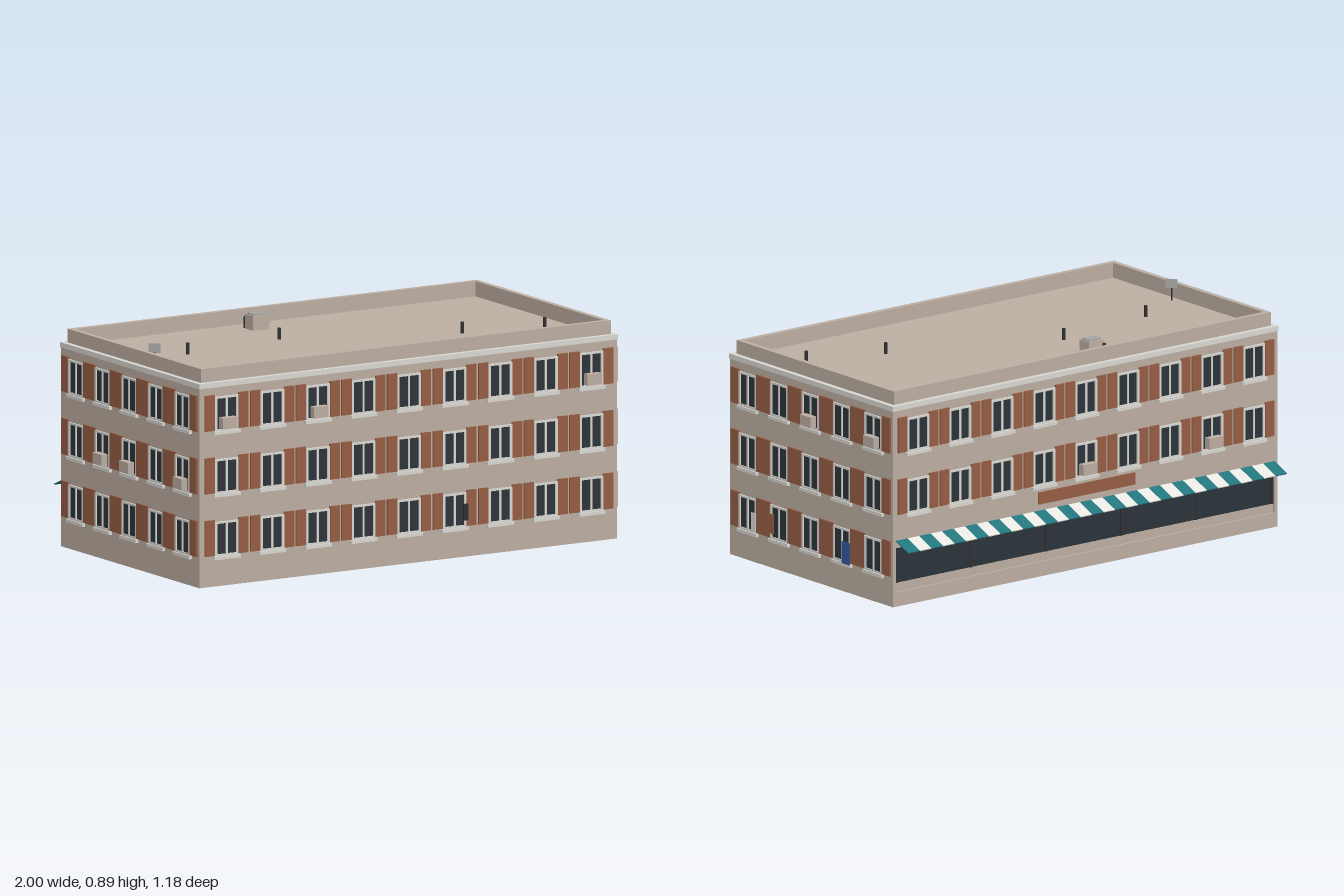
import * as THREE from 'three';

const paint = (name, color, side = THREE.FrontSide) => {
  const m = new THREE.MeshStandardMaterial({ color, side });
  m.name = name;
  return m;
};

export function createModel() {
  const wall = paint('tan plaster', 0xbcaea2);
  const trim = paint('pale trim', 0xd8d7d1);
  const rust = paint('rust brown', 0x965d44);
  const glass = paint('dark glass', 0x2c343a);
  const dark = paint('charcoal', 0x303032);
  const slab = paint('slab grey', 0x58585a);
  const teal = paint('teal canvas', 0x24757e);
  const white = paint('white canvas', 0xebe9e3);
  const blue = paint('blue', 0x3355a0);
  const grey = paint('grey metal', 0xa4a4a2, THREE.DoubleSide);

  const HX = 0.955, HZ = 0.505, FLOORS = [0.119, 0.366, 0.613];
  const model = new THREE.Group();
  model.name = 'building';
  const body = new THREE.Group();
  body.name = 'buildingBody';
  body.rotation.y = -0.032;
  body.position.z = 0.025;
  model.add(body);

  const add = (parent, name, geo, mat, x, y, z) => {
    const m = new THREE.Mesh(geo, mat);
    m.name = name;
    m.position.set(x, y, z);
    parent.add(m);
    return m;
  };
  const box = (parent, name, mat, w, h, d, x, y, z) =>
    add(parent, name, new THREE.BoxGeometry(w, h, d), mat, x, y, z);

  // Shapes with rectangular holes, each rectangle given as [x0, y0, x1, y1]
  const rect = (T, [a, b, c, d]) => {
    const p = new T();
    p.moveTo(a, b); p.lineTo(c, b); p.lineTo(c, d); p.lineTo(a, d); p.closePath();
    return p;
  };
  const pierced = (outer, holes, depth) => {
    const s = rect(THREE.Shape, outer);
    s.holes = holes.map(h => rect(THREE.Path, h));
    return new THREE.ExtrudeGeometry(s, { depth, bevelEnabled: false });
  };
  // Flat rectangular ring around the building
  const ring = (name, mat, hx, hz, t, y, h) => {
    const g = pierced([-hx, -hz, hx, hz], [[-hx + t, -hz + t, hx - t, hz - t]], h);
    g.rotateX(-Math.PI / 2);
    return add(body, name, g, mat, 0, y, 0);
  };

  // Main mass, hollow base, cornice and parapet
  box(body, 'mainWalls', wall, HX * 2, 0.75, HZ * 2 - 0.015, 0, 0.425, 0.0075);
  ring('baseRim', wall, HX, HZ, 0.03, 0, 0.05);
  box(body, 'underside', slab, HX * 2 - 0.06, 0.006, HZ * 2 - 0.06, 0, 0.046, 0);
  ring('cornice', trim, HX + 0.003, HZ + 0.003, 0.04, 0.786, 0.02);
  ring('parapet', wall, HX - 0.018, HZ - 0.018, 0.022, 0.8, 0.06);

  // Shared window parts
  const frameGeo = pierced([-0.054, 0, 0.054, 0.136],
    [[-0.044, 0.008, -0.004, 0.128], [0.004, 0.008, 0.044, 0.128]], 0.007);
  const paneGeo = new THREE.BoxGeometry(0.1, 0.13, 0.003);
  const sillGeo = new THREE.BoxGeometry(0.12, 0.013, 0.013);
  const unitGeo = new THREE.BoxGeometry(0.066, 0.044, 0.03);
  const longShutter = new THREE.BoxGeometry(0.044, 0.141, 0.008);
  const endShutter = new THREE.BoxGeometry(0.049, 0.141, 0.008);

  const addWindow = (face, u, y, shutterGeo) => {
    const w = new THREE.Group();
    w.name = 'window';
    w.position.set(u, y, 0);
    face.add(w);
    add(w, 'windowFrame', frameGeo, trim, 0, 0, 0);
    add(w, 'windowGlass', paneGeo, glass, 0, 0.068, 0.0015);
    add(w, 'windowSill', sillGeo, trim, 0, -0.0065, 0.0065);
    const offset = 0.055 + shutterGeo.parameters.width / 2;
    for (const s of [-1, 1]) add(w, 'shutter', shutterGeo, rust, s * offset, 0.0735, 0.004);
  };

  // One facade: windows in a grid, plus [column, floor] air conditioners
  const facade = (name, angle, dist, columns, pitch, shutterGeo, floors, units) => {
    const face = new THREE.Group();
    face.name = name;
    face.rotation.y = angle;
    face.position.set(Math.sin(angle) * dist, 0, Math.cos(angle) * dist);
    body.add(face);
    const u = i => (i - (columns - 1) / 2) * pitch;
    for (const f of floors)
      for (let i = 0; i < columns; i++) addWindow(face, u(i), FLOORS[f], shutterGeo);
    for (const [i, f] of units)
      add(face, 'airConditioner', unitGeo, wall, u(i), FLOORS[f] + 0.032, 0.016);
    return face;
  };
  const long = (name, angle, floors, units) =>
    facade(name, angle, HZ, 9, 0.2085, longShutter, floors, units);
  const end = (name, angle, units) =>
    facade(name, angle, HX, 5, 0.1945, endShutter, [0, 1, 2], units);
  const front = long('frontFacade', 0, [0, 1, 2], [[0, 2], [2, 2], [8, 2]]);
  const back = long('backFacade', Math.PI, [1, 2], [[4, 1], [7, 1]]);
  const left = end('leftFacade', Math.PI / 2, [[2, 2], [4, 2]]);
  end('rightFacade', -Math.PI / 2, [[1, 1], [2, 1], [4, 1]]);

  // Small hanging panels at ground-floor windows
  box(left, 'bluePanel', blue, 0.047, 0.088, 0.004, 0.228, 0.161, 0.012);
  box(left, 'palePanel', trim, 0.028, 0.078, 0.004, -0.347, 0.161, 0.01);
  box(left, 'brownPanel', rust, 0.031, 0.078, 0.004, -0.235, 0.181, 0.012);
  box(front, 'darkPanel', dark, 0.022, 0.065, 0.004, 0.257, 0.178, 0.01);

  // Shopfront opening in the back wall
  add(back, 'backWall', pierced([-HX, 0.05, HX, 0.8], [[-0.94, 0.058, 0.94, 0.235]], 0.015),
    wall, 0, 0, -0.015);
  box(back, 'shopBase', wall, 1.88, 0.034, 0.006, 0, 0.075, -0.012);
  box(back, 'shopGlass', glass, 1.88, 0.143, 0.003, 0, 0.1635, -0.0135);
  for (let i = 0; i <= 5; i++)
    box(back, 'shopMullion', dark, 0.01, 0.143, 0.006, -0.935 + i * 0.374, 0.1635, -0.01);
  box(back, 'signBoard', rust, 0.48, 0.048, 0.006, 0.005, 0.315, 0.003);

  // Striped awning
  const stripes = 33, sw = 1.88 / stripes;
  for (let i = 0; i < stripes; i++) {
    const s = box(back, 'awningStripe', i % 2 ? white : teal, sw, 0.004, 0.084,
      (i - (stripes - 1) / 2) * sw, 0.247, 0.038);
    s.rotation.x = 0.4;
  }

  // Roof fittings: vent box, pipes and a small upright panel
  box(body, 'roofVentBox', wall, 0.075, 0.058, 0.06, -0.15, 0.829, -0.358);
  box(body, 'roofVentCap', grey, 0.06, 0.006, 0.045, -0.15, 0.86, -0.358);
  const pipeGeo = new THREE.CylinderGeometry(0.007, 0.007, 0.05, 8);
  for (const [x, z] of [[-0.653, -0.064], [-0.194, -0.129], [0.475, 0.14], [0.793, 0.235], [-0.18, -0.397]])
    add(body, 'roofPipe', pipeGeo, dark, x, 0.82, z);
  add(body, 'panelPole', pipeGeo, dark, -0.882, 0.825, 0.06).scale.set(0.5, 1, 0.5);
  const panel = box(body, 'roofPanel', grey, 0.046, 0.036, 0.004, -0.882, 0.868, 0.06);
  panel.rotation.y = -Math.PI / 4;

  return model;
}
